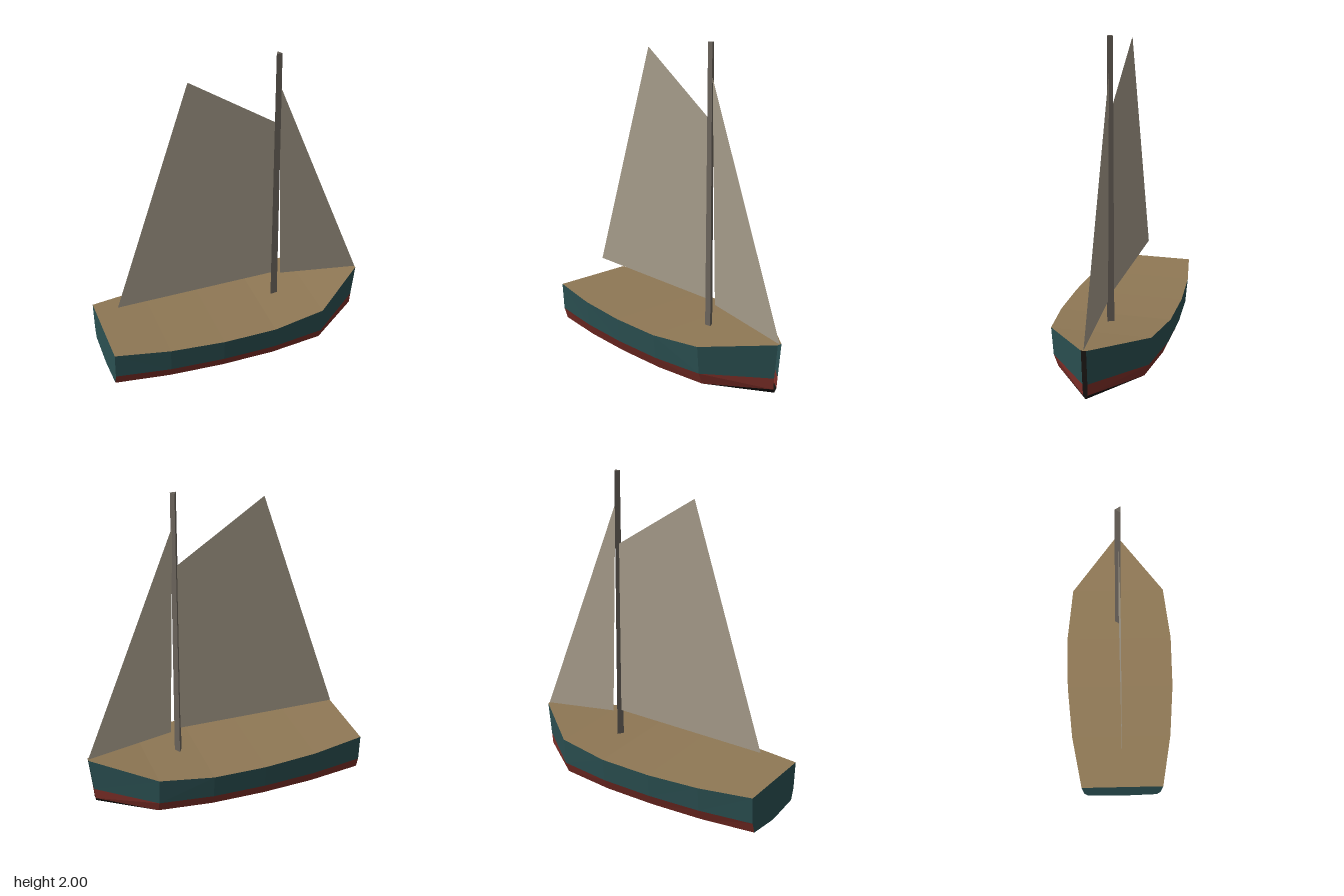
import * as THREE from 'three';

const material = (color) => new THREE.MeshStandardMaterial({ color, flatShading: true, side: THREE.DoubleSide });

// Hull stations from stern to bow: x, half width at deck, deck height, keel height
const stations = [
  [-0.84, 0.255, 0.335, 0.07],
  [-0.51, 0.312, 0.32, 0.02],
  [-0.18, 0.338, 0.312, 0.002],
  [0.15, 0.338, 0.312, 0.002],
  [0.48, 0.297, 0.333, 0.02],
  [0.835, 0.015, 0.375, 0.07],
];
const WATERLINE = 0.165, CHINE = 0.095;

// Section points on the side given by s, from deck edge down to keel
function section([x, w, top, keel], s) {
  const rake = x > 0.8 ? 1 : 0;
  return [
    [x, top, s * w],
    [x - 0.022 * rake, WATERLINE, s * w * 0.955],
    [x - 0.028 * rake, CHINE, s * w * 0.865],
    [x - 0.033 * rake, keel, 0],
  ];
}

// Joins two rows of points into a strip; flip reverses the winding
function strip(out, a, b, flip) {
  for (let i = 0; i < a.length - 1; i++) {
    const quad = [a[i], a[i + 1], b[i + 1], a[i], b[i + 1], b[i]];
    if (flip) quad.reverse();
    quad.forEach((p) => out.push(...p));
  }
}

function mesh(name, positions, color) {
  const geometry = new THREE.BufferGeometry();
  geometry.setAttribute('position', new THREE.Float32BufferAttribute(positions, 3));
  geometry.computeVertexNormals();
  const m = new THREE.Mesh(geometry, material(color));
  m.name = name;
  return m;
}

function sail(name, corners) {
  const shape = new THREE.Shape(corners.map(([x, y]) => new THREE.Vector2(x, y)));
  const m = new THREE.Mesh(new THREE.ShapeGeometry(shape), material(0xa69c8a));
  m.name = name;
  return m;
}

export function createModel() {
  const boat = new THREE.Group();
  boat.name = 'sailboat';
  const left = stations.map((s) => section(s, 1));
  const right = stations.map((s) => section(s, -1));
  const row = (side, k) => side.map((points) => points[k]);

  // Painted bands along both sides; the narrow stem is open
  const bands = [['topsides', 0x2b5052], ['waterlineStripe', 0x7d2f28], ['bottom', 0x14110f]];
  bands.forEach(([name, color], k) => {
    const positions = [];
    strip(positions, row(left, k), row(left, k + 1), true);
    strip(positions, row(right, k), row(right, k + 1), false);
    boat.add(mesh(name, positions, color));
  });

  // Deck
  const deck = [];
  strip(deck, row(left, 0), row(right, 0), false);
  boat.add(mesh('deck', deck, 0x8f7855));

  // Flat transom
  const transom = [];
  strip(transom, left[0], right[0], true);
  boat.add(mesh('transom', transom, 0x2b5052));

  // Three-sided tapered mast, stepped just below the deck
  const mast = new THREE.Mesh(new THREE.CylinderGeometry(0.02, 0.025, 1.71, 3), material(0x6b645c));
  mast.name = 'mast';
  mast.rotation.y = Math.PI;
  mast.position.set(0.268, 1.145, 0);
  boat.add(mast);

  // Thin sails
  boat.add(sail('mainsail', [[-0.74, 0.48], [0.26, 0.48], [0.26, 1.56], [-0.265, 1.915]]));
  boat.add(sail('jib', [[0.315, 0.46], [0.835, 0.375], [0.28, 1.8]]));

  return boat;
}
